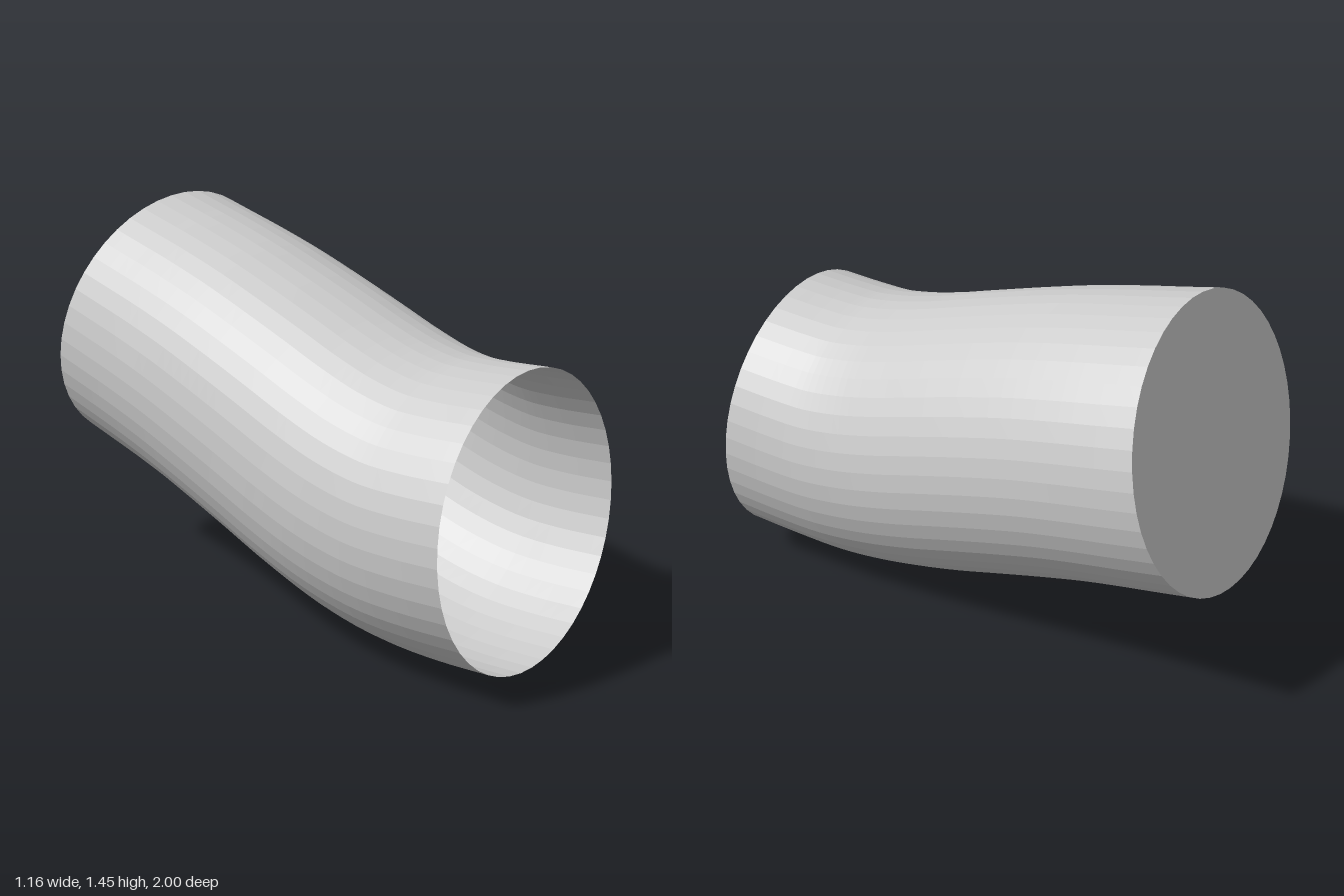
import * as THREE from 'three';

const RADIUS = 0.529, SIDES = 48, STEPS = 40;

export function createModel() {
  const group = new THREE.Group();
  group.name = 'bentPipe';
  const material = new THREE.MeshStandardMaterial({
    color: 0xcccccc, flatShading: true, side: THREE.DoubleSide,
  });

  // Centre line from the open front end to the closed, raised back end
  const path = new THREE.CatmullRomCurve3([
    [-0.05, 0.543, 0.967], [-0.053, 0.532, 0.78], [-0.051, 0.533, 0.6],
    [-0.043, 0.565, 0.4], [-0.028, 0.62, 0.2], [-0.012, 0.687, 0],
    [0.003, 0.753, -0.2], [0.018, 0.815, -0.4], [0.033, 0.868, -0.6],
    [0.041, 0.897, -0.72], [0.05, 0.935, -0.875],
  ].map((p) => new THREE.Vector3(...p)));

  // Pipe wall, open at the front
  const wallGeometry = new THREE.TubeGeometry(path, STEPS, RADIUS, SIDES, false);
  const wall = new THREE.Mesh(wallGeometry, material);
  wall.name = 'pipeWall';
  group.add(wall);

  // Flat cap: a fan over the last ring of the wall
  const ring = wallGeometry.attributes.position;
  const points = [path.getPointAt(1)];
  const index = [];
  for (let i = 0; i <= SIDES; i++) {
    points.push(new THREE.Vector3().fromBufferAttribute(ring, STEPS * (SIDES + 1) + i));
    if (i < SIDES) index.push(0, i + 1, i + 2);
  }
  const capGeometry = new THREE.BufferGeometry().setFromPoints(points);
  capGeometry.setIndex(index);
  capGeometry.computeVertexNormals();
  const cap = new THREE.Mesh(capGeometry, material);
  cap.name = 'backCap';
  group.add(cap);

  return group;
}
